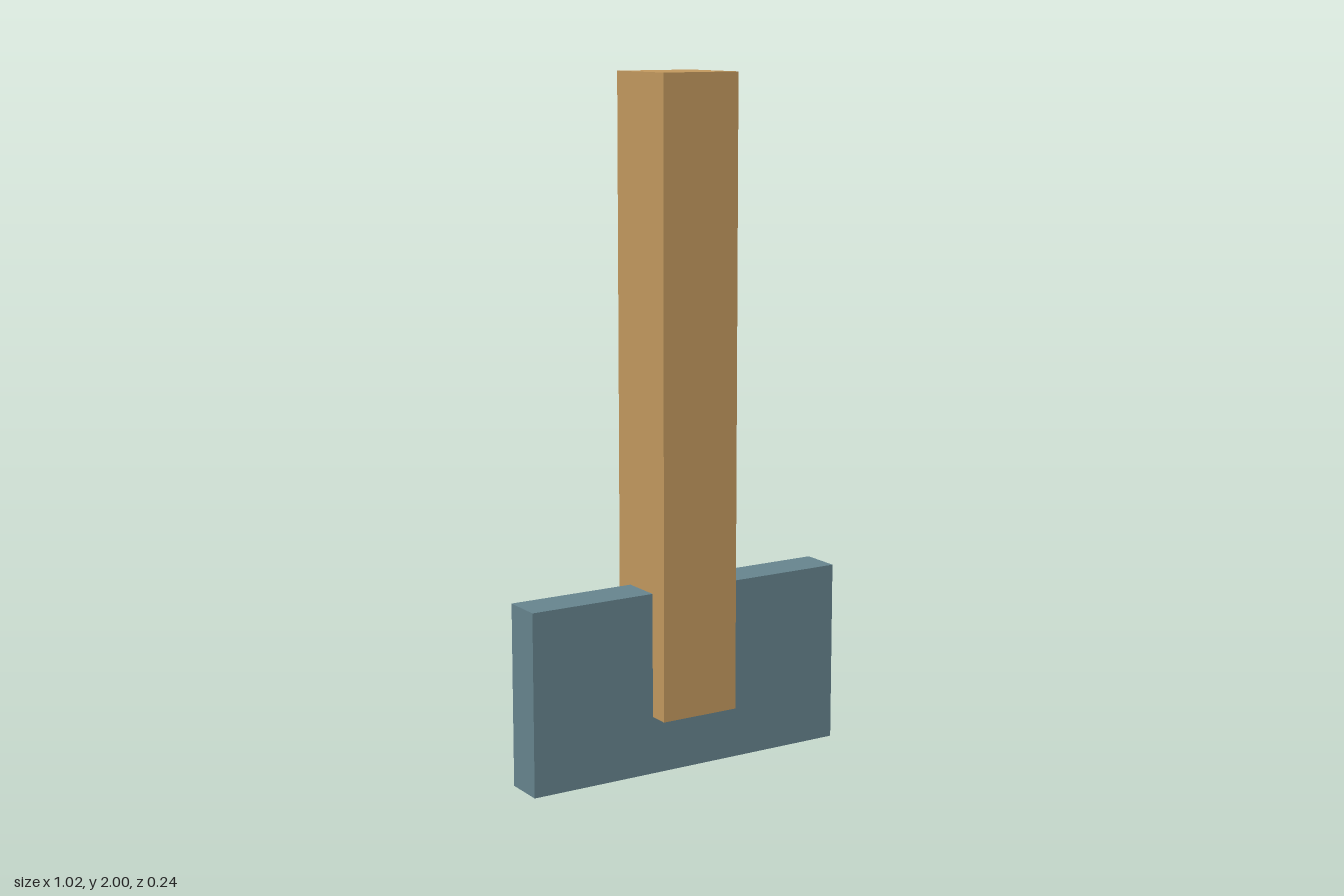
import * as THREE from 'three';

const wood = new THREE.MeshStandardMaterial({ name: 'wood', color: 0xc49a5f });
const steel = new THREE.MeshStandardMaterial({ name: 'blue grey steel', color: 0x67858f });

// Box spanning bottom to top, centred on x = 0 and z = 0
function block(name, width, bottom, top, depth, material) {
  const mesh = new THREE.Mesh(new THREE.BoxGeometry(width, top - bottom, depth), material);
  mesh.position.y = (bottom + top) / 2;
  mesh.name = name;
  return mesh;
}

export function createModel() {
  const model = new THREE.Group();
  model.name = 'scraper';
  // Wide flat blade, with the square handle sunk into it
  model.add(block('blade', 1.02, 0, 0.535, 0.122, steel));
  model.add(block('handle', 0.244, 0.17, 2, 0.244, wood));
  return model;
}
